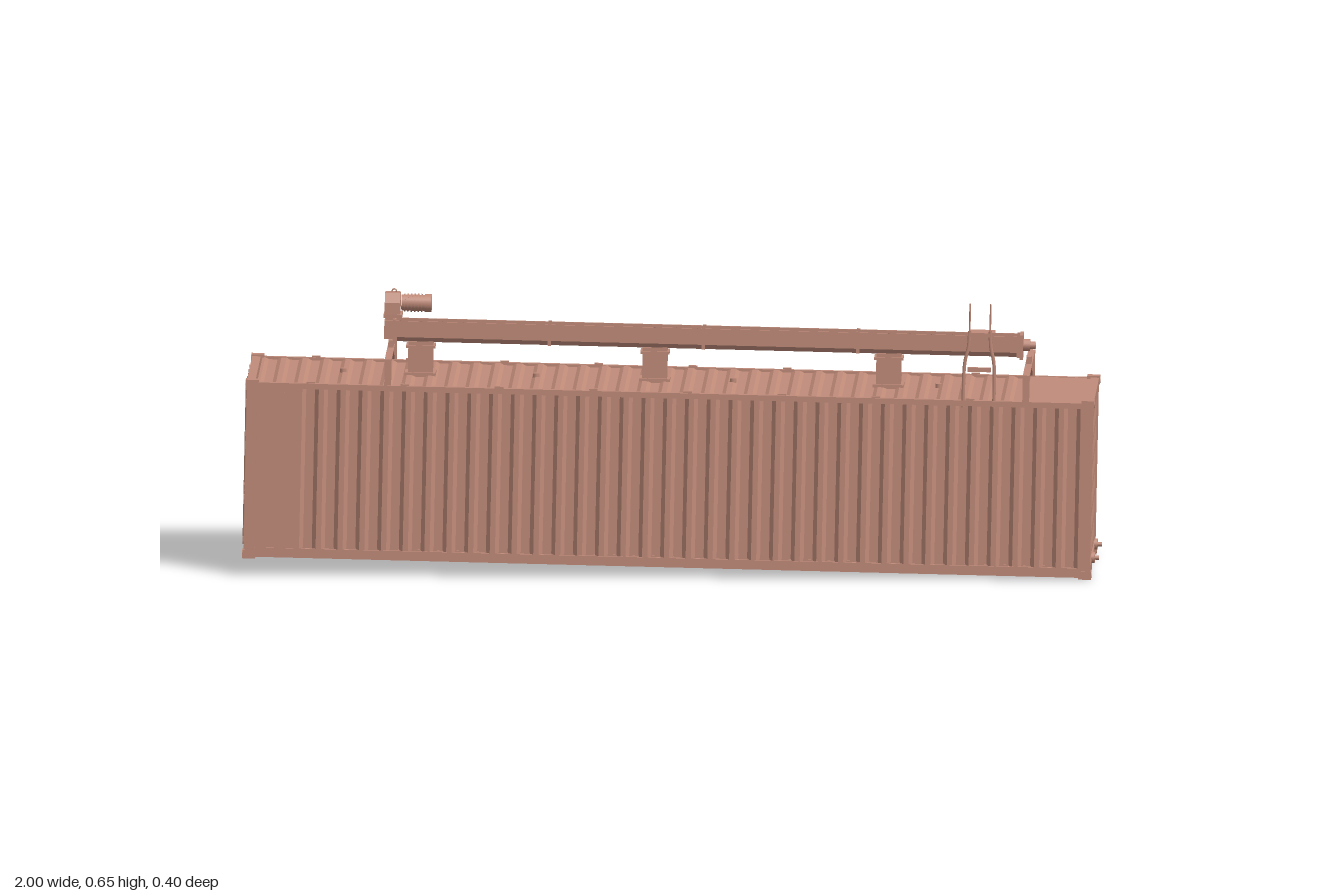
import * as THREE from 'three';

const paint = new THREE.MeshStandardMaterial({ color: 0xc08b79, side: THREE.DoubleSide });
paint.name = 'primer paint';

export function createModel() {
  const model = new THREE.Group();
  model.name = 'tiltedContainer';

  const add = (name, geo, x = 0, y = 0, z = 0) => {
    const m = new THREE.Mesh(geo, paint);
    m.name = name;
    m.position.set(x, y, z);
    model.add(m);
    return m;
  };
  // Box given by its minimum and maximum corners
  const box = (name, x0, x1, y0, y1, z0, z1) =>
    add(name, new THREE.BoxGeometry(x1 - x0, y1 - y0, z1 - z0), (x0 + x1) / 2, (y0 + y1) / 2, (z0 + z1) / 2);
  // Cylinder along a chosen axis
  const rod = (name, axis, r, len, x, y, z, sides = 16) => {
    const g = new THREE.CylinderGeometry(r, r, len, sides);
    if (axis === 'x') g.rotateZ(Math.PI / 2);
    if (axis === 'z') g.rotateX(Math.PI / 2);
    return add(name, g, x, y, z);
  };
  const shapeOf = (pts) => new THREE.Shape(pts.map((p) => new THREE.Vector2(p[0], p[1])));
  const extrude = (shape, depth) => new THREE.ExtrudeGeometry(shape, { depth, bevelEnabled: false, curveSegments: 8 });

  // Trapezoid sheet: runs along x, waves in y, extruded along z
  const corrugated = (length, waves, depth, height, thick = 0.002) => {
    const outer = [[-length / 2, 0]];
    const p = length / waves;
    for (let i = 0; i < waves; i++) {
      const s = -length / 2 + i * p;
      outer.push([s + p * 0.12, 0], [s + p * 0.3, -depth], [s + p * 0.7, -depth], [s + p * 0.88, 0]);
    }
    outer.push([length / 2, 0]);
    const inner = outer.map(([x, y]) => [x, y - thick]).reverse();
    return extrude(shapeOf([...outer, ...inner]), height);
  };
  const wall = (length, waves, depth, height, turn) =>
    corrugated(length, waves, depth, height).rotateX(-Math.PI / 2).rotateY(turn);

  // Corrugated walls and roof
  add('backWall', wall(1.93, 38, 0.008, 0.38, 0), 0, 0.02, -0.197);
  add('frontWall', wall(1.83, 36, 0.008, 0.38, Math.PI), 0.05, 0.02, 0.197);
  add('endWall', wall(0.36, 11, 0.008, 0.385, -Math.PI / 2), 0.985, 0.024, 0);
  add('roof', corrugated(1.8, 36, 0.005, 0.385), -0.065, 0.411, -0.1925);
  box('roofPlate', 0.83, 0.98, 0.406, 0.411, -0.19, 0.19);

  // Flat panel with service strips at the door end of the front side
  box('sidePanel', -0.97, -0.86, 0.02, 0.4, 0.191, 0.196);
  for (const [x, w] of [[-0.925, 0.012], [-0.895, 0.01]])
    box('sideStrip', x - w / 2, x + w / 2, 0.03, 0.39, 0.196, 0.199);

  // Rails, posts and corner castings
  for (const s of [-1, 1]) {
    const z0 = s > 0 ? 0.187 : -0.199;
    box('topRail', -0.97, 0.97, 0.399, 0.412, z0, z0 + 0.012);
    box('bottomRail', -0.97, 0.97, 0, 0.022, z0, z0 + 0.012);
    box('endTopRail', s * 0.979 - 0.01, s * 0.979 + 0.01, 0.397, 0.414, -0.19, 0.19);
    for (const e of [-1, 1]) {
      box('cornerPost', e * 0.976 - 0.012, e * 0.976 + 0.012, 0.01, 0.405, s * 0.187 - 0.012, s * 0.187 + 0.012);
      for (const y of [0.006, 0.408]) {
        box('cornerCasting', e * 0.976 - 0.015, e * 0.976 + 0.015, y - 0.01, y + 0.01, s * 0.188 - 0.0125, s * 0.188 + 0.0125);
        rod('castingHole', 'x', 0.006, 0.002, e * 0.991, y, s * 0.186).scale.y = 1.3;
      }
    }
    // Sill sections beside the tunnel and round end fittings
    box('endSill', 0.968, 0.989, 0, 0.03, s > 0 ? 0.085 : -0.19, s > 0 ? 0.19 : -0.085);
    rod('endFitting', 'x', 0.013, 0.008, 0.992, 0.033, s * 0.1);
    rod('endFittingBolt', 'x', 0.005, 0.016, 0.998, 0.033, s * 0.1);
  }
  box('tunnelHeader', 0.968, 0.989, 0.016, 0.03, -0.085, 0.085);
  box('doorSill', -0.989, -0.968, 0, 0.022, -0.19, 0.19);

  // Floor, cross members and ribbed tunnel
  box('floor', -0.97, 0.97, 0.02, 0.025, -0.19, 0.19);
  for (let i = 0; i < 34; i++) {
    const x = -0.93 + i * 0.056;
    if (x < 0.43) box('crossMember', x - 0.008, x + 0.008, 0.004, 0.02, -0.187, 0.187);
    else for (const s of [-1, 1])
      box('outrigger', x - 0.008, x + 0.008, 0.004, 0.02, s > 0 ? 0.09 : -0.187, s > 0 ? 0.187 : -0.09);
  }
  for (const s of [-1, 1]) box('tunnelRail', 0.42, 0.97, 0.003, 0.02, s * 0.088 - 0.004, s * 0.088 + 0.004);
  for (let i = 0; i < 36; i++) box('tunnelRib', 0.428 + i * 0.015, 0.436 + i * 0.015, 0.016, 0.02, -0.085, 0.085);

  // Double doors with ribs, hinges and locking bars
  for (const s of [-1, 1]) {
    const c = s * 0.087;
    box('door', -0.98, -0.974, 0.022, 0.397, c - 0.085, c + 0.085);
    for (const e of [-1, 1]) box('doorStile', -0.986, -0.98, 0.022, 0.397, c + e * 0.078 - 0.007, c + e * 0.078 + 0.007);
    for (const y of [0.03, 0.105, 0.185, 0.235, 0.315, 0.389])
      box('doorRib', -0.985, -0.98, y - 0.008, y + 0.008, c - 0.08, c + 0.08);
    for (const d of [-0.035, 0.035]) {
      rod('lockBar', 'y', 0.0035, 0.385, -0.99, 0.21, c + d, 8);
      for (const y of [0.03, 0.13, 0.28, 0.389]) box('lockKeeper', -0.993, -0.984, y - 0.006, y + 0.006, c + d - 0.008, c + d + 0.008);
      box('lockHandle', -0.994, -0.99, 0.158, 0.164, c + d - 0.03, c + d + 0.005);
    }
    for (const y of [0.06, 0.16, 0.26, 0.36]) box('hinge', -0.99, -0.982, y - 0.008, y + 0.008, s * 0.175 - 0.008, s * 0.175 + 0.008);
  }

  // Cross frames on the roof with haunched corners
  const frame = shapeOf([[-0.197, 0.41], [-0.197, 0.473], [0.197, 0.473], [0.197, 0.41],
    [0.187, 0.414], [0.107, 0.457], [-0.107, 0.457], [-0.187, 0.414]]);
  for (const x of [-0.66, 0.83]) {
    add('roofFrame', extrude(frame, 0.006).rotateY(Math.PI / 2), x - 0.003, 0, 0);
    box('frameFlange', x - 0.008, x + 0.008, 0.469, 0.474, -0.197, 0.197);
    for (const s of [-1, 1]) box('framePost', x - 0.008, x + 0.008, 0.408, 0.473, s * 0.193 - 0.004, s * 0.193 + 0.004);
  }

  // Open trough of the screw conveyor
  const trough = shapeOf([[-0.026, 0.538], [-0.026, 0.5], [-0.017, 0.489], [0.017, 0.489], [0.026, 0.5], [0.026, 0.538],
    [0.022, 0.538], [0.022, 0.502], [0.015, 0.493], [-0.015, 0.493], [-0.022, 0.502], [-0.022, 0.538]]);
  add('conveyorTrough', extrude(trough, 1.46).rotateY(Math.PI / 2), -0.65, 0, 0);
  for (const x of [-0.65, -0.29, 0.07, 0.43, 0.805])
    for (const s of [-1, 1]) box('troughFlange', x - 0.004, x + 0.004, 0.489, 0.54, s * 0.026 - 0.0025, s * 0.026 + 0.0025);
  for (const x of [-0.652, 0.812]) box('troughEndPlate', x - 0.004, x + 0.004, 0.484, 0.542, -0.027, 0.027);

  // Screw shaft and helical flight
  rod('screwShaft', 'x', 0.007, 1.52, 0.085, 0.515, 0);
  const turns = 29, steps = turns * 14;
  const flight = new THREE.PlaneGeometry(1, 1, steps, 1);
  const pos = flight.attributes.position;
  for (let i = 0; i < pos.count; i++) {
    const t = pos.getX(i) + 0.5, r = pos.getY(i) > 0 ? 0.02 : 0.007, a = t * turns * Math.PI * 2;
    pos.setXYZ(i, -0.64 + t * 1.44, Math.cos(a) * r, Math.sin(a) * r);
  }
  flight.computeVertexNormals();
  add('screwFlight', flight, 0, 0.515, 0);
  rod('endBearing', 'x', 0.014, 0.016, 0.824, 0.515, 0);
  rod('bearingCap', 'x', 0.009, 0.012, 0.838, 0.515, 0);

  // Chutes from the trough down to the roof
  for (const x of [-0.59, -0.043, 0.503]) {
    box('chute', x - 0.029, x + 0.029, 0.405, 0.49, -0.021, 0.021);
    box('chuteTopFlange', x - 0.034, x + 0.034, 0.475, 0.481, -0.026, 0.026);
    box('chuteBaseFlange', x - 0.036, x + 0.036, 0.41, 0.417, -0.028, 0.028);
  }
  for (const x of [-0.66, 0.83]) box('troughStand', x - 0.006, x + 0.006, 0.47, 0.49, -0.02, 0.02);

  // Inlet hatch
  box('inletHatch', 0.69, 0.75, 0.534, 0.545, -0.023, 0.023);

  // Gear housing and drive motor
  box('gearBase', -0.676, -0.656, 0.495, 0.537, -0.025, 0.025);
  box('gearNeck', -0.674, -0.652, 0.535, 0.55, -0.017, 0.017);
  box('gearFoot', -0.678, -0.635, 0.545, 0.553, -0.028, 0.028);
  const housing = shapeOf([[-0.027, 0], [0.027, 0], [0.026, 0.03], [0.014, 0.052], [-0.014, 0.052], [-0.026, 0.03]]);
  add('gearHousing', extrude(housing, 0.036).rotateY(Math.PI / 2), -0.676, 0.55, 0);
  rod('motor', 'x', 0.019, 0.065, -0.605, 0.578, 0, 24);
  for (let i = 0; i < 6; i++) rod('motorFin', 'x', 0.0215, 0.003, -0.63 + i * 0.008, 0.578, 0, 24);
  rod('motorCowl', 'x', 0.021, 0.016, -0.575, 0.578, 0, 24);
  box('terminalBox', -0.625, -0.595, 0.57, 0.588, -0.03, -0.018);
  add('liftingEye', new THREE.TorusGeometry(0.005, 0.0015, 6, 12), -0.655, 0.605, 0);

  // Access ladder with grab rods on the front edge
  const tube = (name, pts, r) => add(name, new THREE.TubeGeometry(
    new THREE.CatmullRomCurve3(pts.map((p) => new THREE.Vector3(...p)), false, 'centripetal'), 24, r, 6));
  for (const s of [-1, 1]) {
    tube('ladderPost', [[0.72 + s * 0.036, 0.395, 0.194], [0.72 + s * 0.034, 0.5, 0.194],
      [0.72 + s * 0.026, 0.54, 0.194], [0.72 + s * 0.024, 0.575, 0.194]], 0.0045);
    rod('grabRod', 'y', 0.002, 0.065, 0.72 + s * 0.024, 0.608, 0.197, 8);
  }
  for (const y of [0.485, 0.567]) box('ladderRung', 0.693, 0.747, y - 0.005, y + 0.005, 0.19, 0.198);

  // Small roof lugs and edge cleats
  for (const x of [-0.77, -0.32, 0.14, 0.62]) rod('roofLug', 'y', 0.008, 0.01, x, 0.414, 0, 10);
  for (let i = 0; i < 8; i++)
    for (const s of [-1, 1]) box('edgeCleat', -0.85 + i * 0.22, -0.83 + i * 0.22, 0.411, 0.416, s * 0.192 - 0.004, s * 0.192 + 0.004);

  // The whole container leans down toward +x
  model.rotation.z = -0.0205;
  model.position.set(-0.008, 0.0245, 0);
  const root = new THREE.Group();
  root.name = 'conveyorContainer';
  root.add(model);
  return root;
}
